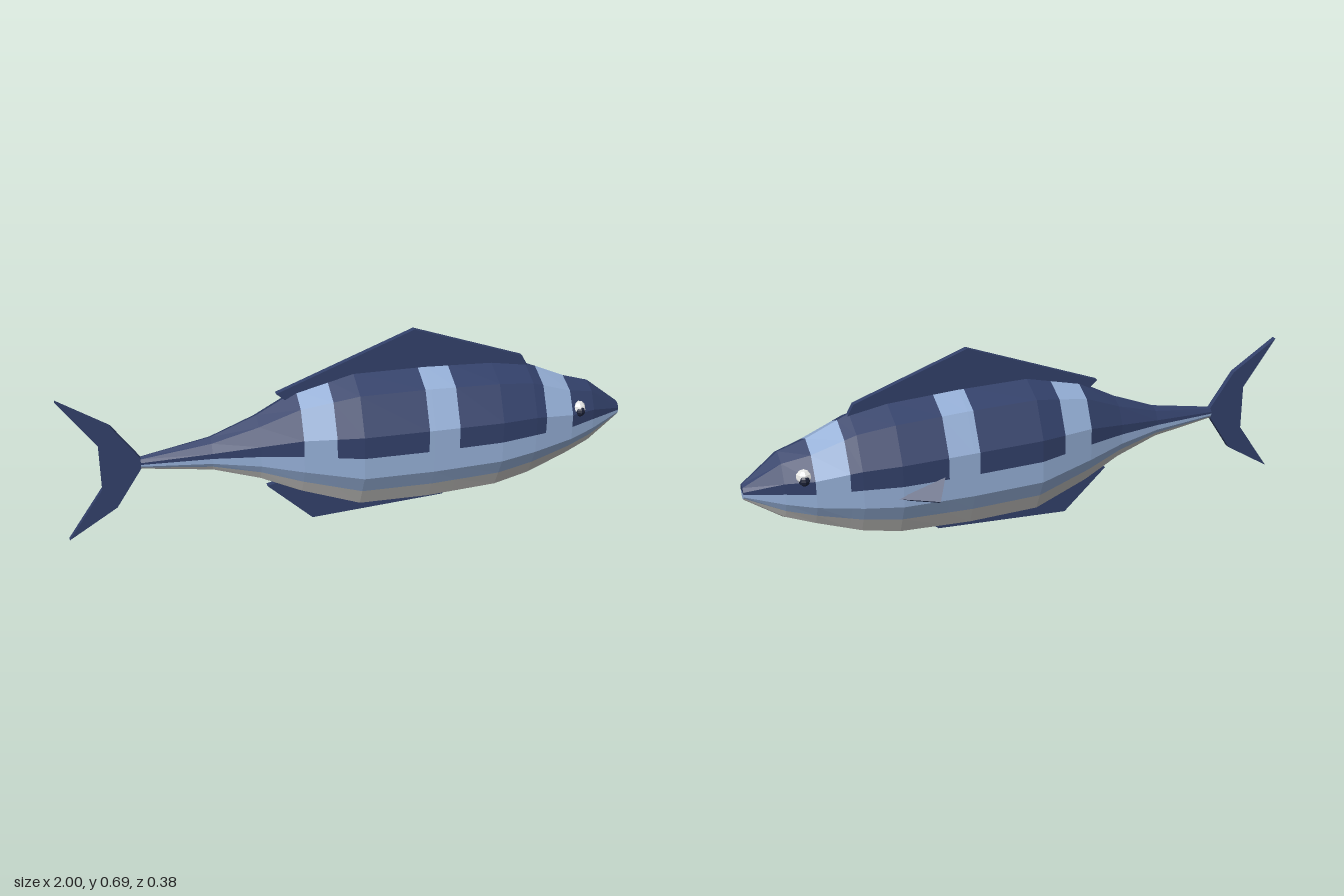
import * as THREE from 'three';
import { ConvexGeometry } from 'three/addons/geometries/ConvexGeometry.js';

const MID = 0.025; // z of the fish's centre plane

function material(name, color, extra = {}) {
  const m = new THREE.MeshStandardMaterial({ color, ...extra });
  m.name = name;
  return m;
}

// Body stations: x, top y, bottom y, half width
const STATIONS = [
  [-0.74, 0.318, 0.275, 0.018], [-0.5, 0.362, 0.24, 0.045], [-0.34, 0.425, 0.185, 0.08],
  [-0.2, 0.5, 0.115, 0.122], [0, 0.549, 0.04, 0.164], [0.25, 0.547, 0.035, 0.165],
  [0.5, 0.535, 0.05, 0.164], [0.63, 0.513, 0.08, 0.147], [0.78, 0.447, 0.14, 0.115],
  [0.875, 0.418, 0.178, 0.082], [1, 0.32, 0.267, 0.025],
];
const STRIPES = [[-0.2, -0.09], [0.23, 0.34], [0.67, 0.78]];
// Steps around the ten-sided section; half steps are colour borders
const STEPS = [0, 1, 2, 2.5, 3, 3.5, 4, 5, 6, 6.5, 7, 7.5, 8, 9, 10];

function stationAt(x) {
  let i = 0;
  while (i < STATIONS.length - 2 && x > STATIONS[i + 1][0]) i++;
  const a = STATIONS[i], b = STATIONS[i + 1];
  const t = (x - a[0]) / (b[0] - a[0]);
  return a.map((v, j) => v + (b[j] - v) * t);
}

function ringAt(x) {
  const [, top, bottom, half] = stationAt(x);
  const cy = (top + bottom) / 2, ry = (top - bottom) / 2;
  const rx = half / Math.sin(Math.PI * 0.4);
  const corner = (k) => new THREE.Vector3(
    x, cy + ry * Math.cos(k * Math.PI / 5), MID + rx * Math.sin(k * Math.PI / 5));
  return STEPS.map((s) => corner(Math.floor(s)).lerp(corner(Math.ceil(s)), s % 1));
}

// Skin split into three colour regions
function buildBody(mats) {
  const faces = { back: [], side: [], belly: [] };
  const xs = [...new Set([...STATIONS.map((s) => s[0]), ...STRIPES.flat()])].sort((a, b) => a - b);
  const rings = xs.map(ringAt);
  const region = (k, x) => {
    const s = (STEPS[k] + STEPS[k + 1]) / 2, d = Math.min(s, 10 - s);
    if (d > 3.5) return 'belly';
    return d > 2.5 || STRIPES.some(([a, b]) => x > a && x < b) ? 'side' : 'back';
  };
  for (let i = 0; i < rings.length - 1; i++) {
    for (let k = 0; k < STEPS.length - 1; k++) {
      const a = rings[i][k], b = rings[i][k + 1], c = rings[i + 1][k + 1], d = rings[i + 1][k];
      faces[region(k, (xs[i] + xs[i + 1]) / 2)].push(a, b, c, a, c, d);
    }
  }
  // Nose and tail end caps
  const nose = rings[rings.length - 1], tail = rings[0];
  const centre = (r) => r[0].clone().add(r[7]).multiplyScalar(0.5);
  for (let k = 0; k < STEPS.length - 1; k++) {
    const lower = STEPS[k] >= 2.5 && STEPS[k] < 7.5;
    faces[lower ? 'side' : 'back'].push(centre(nose), nose[k], nose[k + 1]);
    faces.back.push(centre(tail), tail[k + 1], tail[k]);
  }
  // Cap winding follows the outward x direction
  const body = new THREE.Group();
  body.name = 'body';
  for (const [name, pts] of Object.entries(faces)) {
    for (let i = 0; i < pts.length; i += 3) {
      const [p, q, r] = pts.slice(i, i + 3);
      if (p.x === q.x && q.x === r.x) {
        const nx = q.clone().sub(p).cross(r.clone().sub(p)).x;
        if (nx * p.x < 0) { pts[i + 1] = r; pts[i + 2] = q; }
      }
    }
    const g = new THREE.BufferGeometry().setFromPoints(pts);
    g.computeVertexNormals();
    const mesh = new THREE.Mesh(g, mats[name]);
    mesh.name = name;
    body.add(mesh);
  }
  return body;
}

// Flat upright fin cut from an outline
function fin(name, outline, mat) {
  const shape = new THREE.Shape(outline.map(([x, y]) => new THREE.Vector2(x, y)));
  const g = new THREE.ExtrudeGeometry(shape, { depth: 0.02, bevelEnabled: false });
  g.translate(0, 0, MID - 0.01);
  const mesh = new THREE.Mesh(g, mat);
  mesh.name = name;
  return mesh;
}

export function createModel() {
  const navy = material('navy', 0x324069);
  const mats = {
    back: navy,
    side: material('light blue', 0x93add4),
    belly: material('belly grey', 0xc0bfbd),
  };
  const white = material('eye white', 0xe8e8e6, { flatShading: true });
  const dark = material('pupil', 0x1c2238, { flatShading: true });

  const fish = new THREE.Group();
  fish.name = 'fish';
  fish.add(buildBody(mats));

  fish.add(fin('dorsalFin', [[-0.27, 0.5], [-0.225, 0.46], [0, 0.5], [0.5, 0.49],
    [0.64, 0.5], [0.615, 0.545], [0.215, 0.685]], navy));
  fish.add(fin('analFin', [[-0.31, 0.15], [-0.15, 0], [0.335, 0.028],
    [0.36, 0.05], [0.2, 0.1], [-0.2, 0.18]], navy));
  fish.add(fin('tailFin', [[-1, 0.555], [-0.875, 0.38], [-0.875, 0.215], [-1, 0.035],
    [-0.83, 0.14], [-0.735, 0.285], [-0.735, 0.31], [-0.83, 0.445]], navy));

  // Side fin: a thin triangular wedge swept backwards
  const tri = [[0.52, 0.25, -0.135], [0.36, 0.31, -0.155], [0.39, 0.24, -0.19]]
    .map((p) => new THREE.Vector3(...p));
  const thick = new THREE.Vector3(0, -0.01, 0.015);
  const sideFin = new THREE.Mesh(
    new ConvexGeometry([...tri, ...tri.map((p) => p.clone().add(thick))]), navy);
  sideFin.name = 'sideFin';
  fish.add(sideFin);

  // Eyes
  for (const s of [1, -1]) {
    const eye = new THREE.Group();
    eye.name = s > 0 ? 'leftEye' : 'rightEye';
    const ball = new THREE.Mesh(new THREE.SphereGeometry(0.029, 8, 6), white);
    ball.name = 'eyeball';
    ball.position.set(0.81, 0.35, MID + s * 0.083);
    const pupil = new THREE.Mesh(new THREE.SphereGeometry(0.02, 8, 6), dark);
    pupil.name = 'pupil';
    pupil.position.set(0.812, 0.345, MID + s * 0.097);
    eye.add(ball, pupil);
    fish.add(eye);
  }
  return fish;
}
